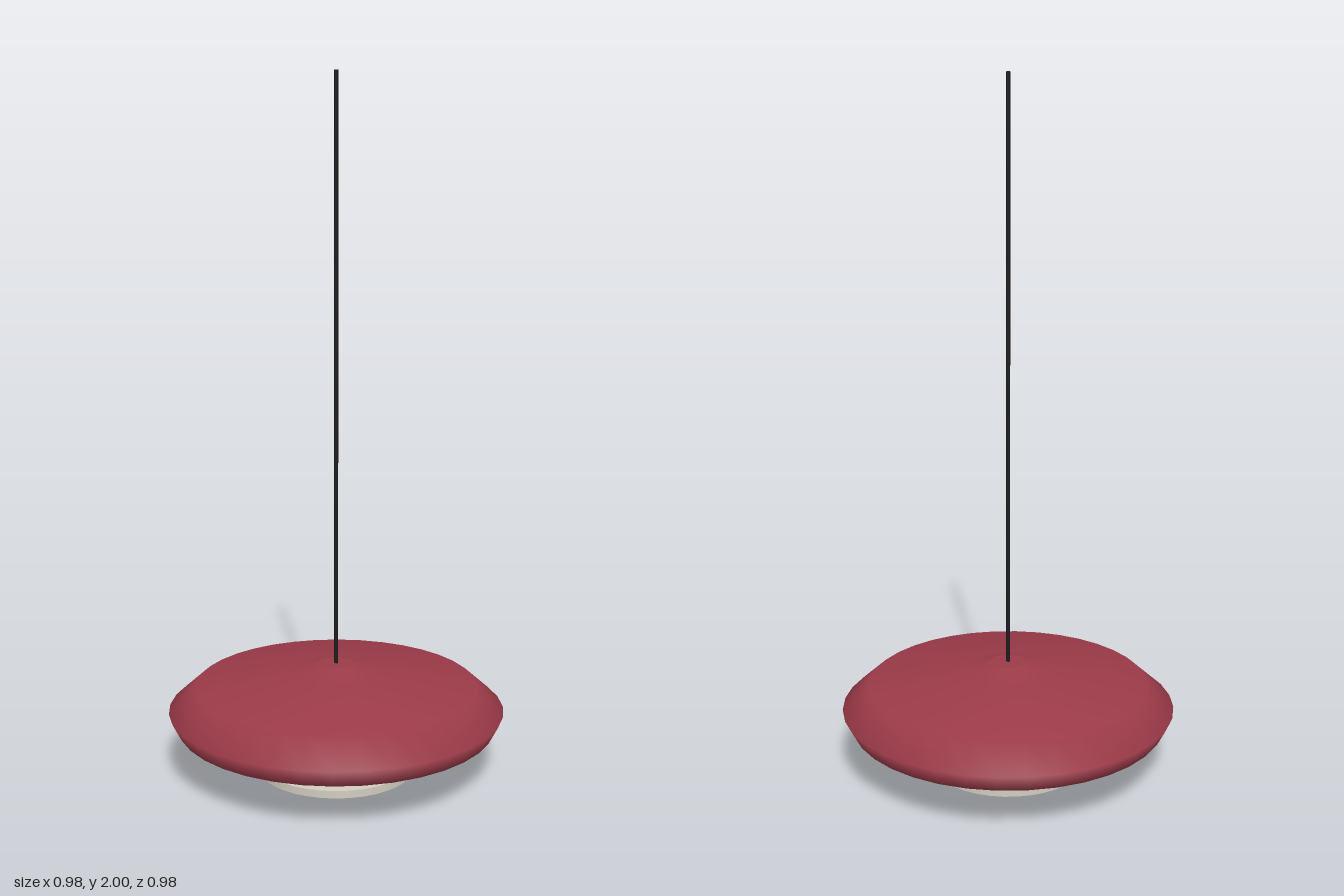
import * as THREE from 'three';

export function createModel() {
  const group = new THREE.Group();
  group.name = 'pendantLamp';
  const red = new THREE.MeshStandardMaterial({ color: 0x9b3a48 });
  red.name = 'deep red';
  const black = new THREE.MeshStandardMaterial({ color: 0x1c1c1e });
  black.name = 'cord black';
  const pale = new THREE.MeshStandardMaterial({ color: 0xd2ccc0 });
  pale.name = 'warm pale grey';

  const add = (name, geometry, material, y = 0) => {
    const mesh = new THREE.Mesh(geometry, material);
    mesh.name = name;
    mesh.position.y = y;
    group.add(mesh);
    return mesh;
  };

  // Saucer-shaped shade, turned from bottom to top
  const profile = [
    [0.09, 0.025], [0.21, 0.052], [0.462, 0.137], [0.488, 0.187],
    [0.41, 0.256], [0.14, 0.29], [0.053, 0.317],
  ].map(([r, y]) => new THREE.Vector2(r, y));
  add('shade', new THREE.LatheGeometry(profile, 36), red);

  // Flat caps closing the shade
  add('shadeTopCap', new THREE.CircleGeometry(0.053, 36), red, 0.317).rotation.x = -Math.PI / 2;
  add('shadeBottomCap', new THREE.CircleGeometry(0.09, 36), red, 0.025).rotation.x = Math.PI / 2;

  // Light diffuser disc below the shade
  add('diffuser', new THREE.CylinderGeometry(0.23, 0.23, 0.022, 36), pale, 0.011);

  // Hanging cord
  add('cord', new THREE.CylinderGeometry(0.006, 0.006, 1.69, 8), black, 1.155);

  return group;
}
